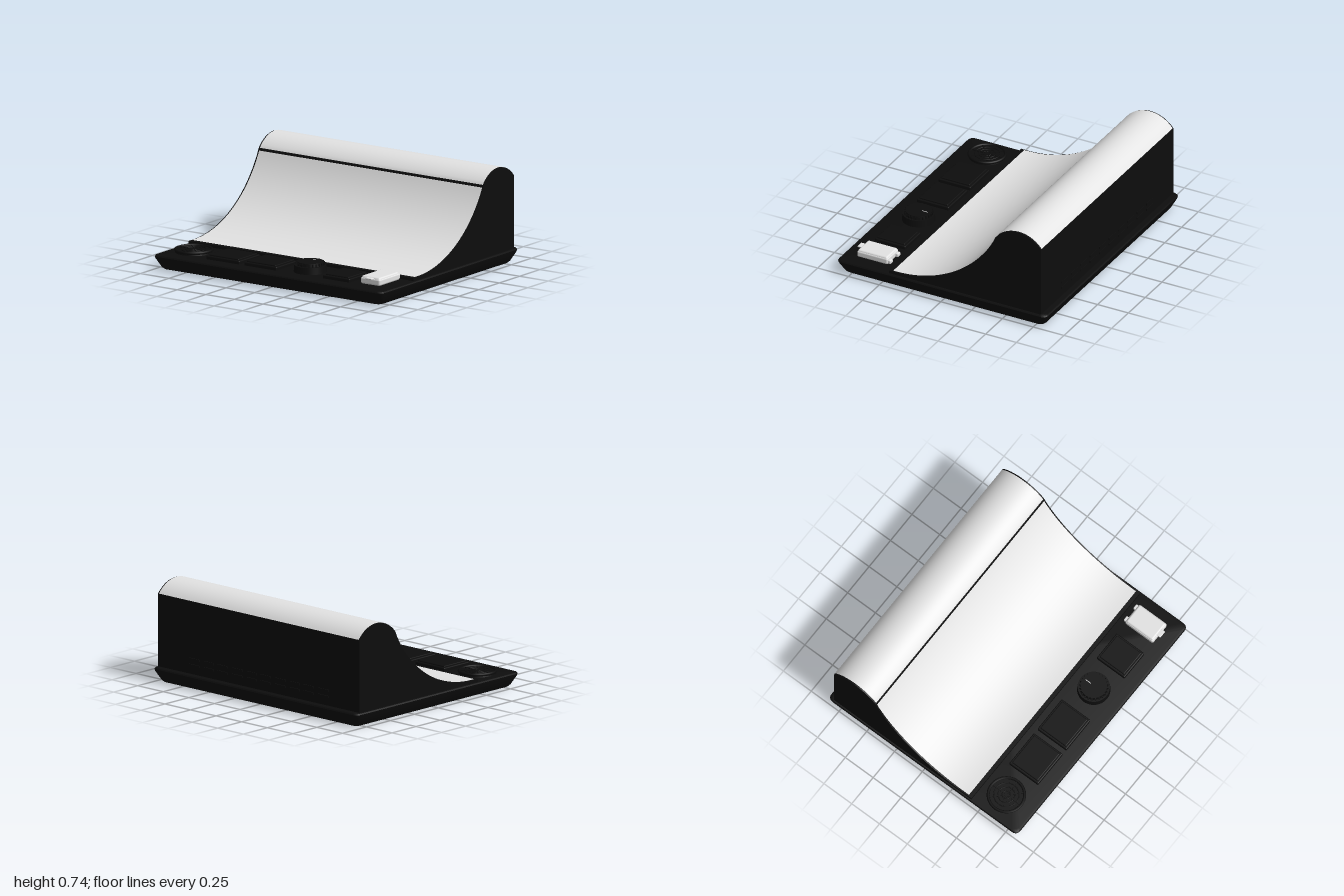
import * as THREE from 'three';
import { toCreasedNormals } from 'three/addons/utils/BufferGeometryUtils.js';
import { RoundedBoxGeometry } from 'three/addons/geometries/RoundedBoxGeometry.js';

const black = new THREE.MeshStandardMaterial({ color: 0x0d0d0d });
black.name = 'black plastic';
const white = new THREE.MeshStandardMaterial({ color: 0xe4e4e4 });
white.name = 'white plastic';

function add(parent, name, geometry, material, x = 0, y = 0, z = 0) {
  const mesh = new THREE.Mesh(geometry, material);
  mesh.name = name;
  mesh.position.set(x, y, z);
  parent.add(mesh);
  return mesh;
}

function addGroup(parent, name) {
  const group = new THREE.Group();
  group.name = name;
  parent.add(group);
  return group;
}

// Rounded-rectangle tray from stacked loops [y, inset], closed at both ends
function trayGeometry(hx, hz, r, rings) {
  const steps = 6, loops = [];
  const loop = (y, inset, scale = 1) => {
    const pts = [];
    for (let c = 0; c < 4; c++) {
      const sx = c === 0 || c === 3 ? 1 : -1, sz = c < 2 ? 1 : -1;
      for (let i = 0; i <= steps; i++) {
        const a = (c + i / steps) * Math.PI / 2;
        pts.push([
          scale * (sx * (hx - inset - r) + r * Math.cos(a)), y,
          scale * (sz * (hz - inset - r) + r * Math.sin(a))]);
      }
    }
    loops.push(pts);
  };
  loop(rings[0][0], 0, 0);
  rings.forEach(([y, inset]) => loop(y, inset));
  loop(rings[rings.length - 1][0], 0, 0);
  const n = loops[0].length, index = [];
  for (let j = 0; j < loops.length - 1; j++) {
    for (let i = 0; i < n; i++) {
      const a = j * n + i, b = j * n + (i + 1) % n;
      if (j < loops.length - 2) index.push(a, a + n, b + n);
      if (j > 0) index.push(a, b + n, b);
    }
  }
  const g = new THREE.BufferGeometry();
  g.setAttribute('position', new THREE.Float32BufferAttribute(loops.flat(2), 3));
  g.setIndex(index);
  return toCreasedNormals(g, 0.7);
}

// Height of the ramp: a hollow arc running up into a round crest
function rampHeight(z) {
  if (z > 0.37) return 0.13;
  if (z > -0.43) return 1.02 - Math.sqrt(0.89 ** 2 - (0.37 - z) ** 2);
  return 0.498 + Math.sqrt(0.235 ** 2 - (z + 0.62) ** 2);
}

const BACK = -0.805, ROWS = 96;

function rampBody() {
  const shape = new THREE.Shape();
  shape.moveTo(-0.43, 0.09);
  shape.lineTo(-BACK, 0.09);
  for (let i = 0; i <= ROWS; i++) {
    const z = BACK + (0.43 - BACK) * i / ROWS;
    shape.lineTo(-z, rampHeight(z));
  }
  const g = new THREE.ExtrudeGeometry(shape, { depth: 1.97, bevelEnabled: false });
  return g.rotateY(Math.PI / 2).translate(-0.985, 0, 0);
}

// Plane whose rows follow the ramp from back to front
function rampSheet() {
  const g = new THREE.PlaneGeometry(1.95, 1, 1, ROWS);
  const p = g.attributes.position;
  for (let i = 0; i < p.count; i++) {
    const z = BACK + (0.4 - BACK) * Math.floor(i / 2) / ROWS;
    p.setY(i, rampHeight(z) + 0.003);
    p.setZ(i, z);
  }
  g.computeVertexNormals();
  return g;
}

const ringGeometry = (r, tube) => new THREE.TorusGeometry(r, tube, 8, 48).rotateX(Math.PI / 2);

function addSpeaker(parent) {
  const speaker = addGroup(parent, 'speaker');
  speaker.position.set(-0.81, 0.11, 0.61);
  add(speaker, 'speakerDisc', new THREE.CylinderGeometry(0.13, 0.135, 0.02, 48), black, 0, 0.008, 0);
  add(speaker, 'speakerRim', ringGeometry(0.13, 0.011), black, 0, 0.018, 0);
  for (let i = 1; i <= 3; i++) add(speaker, 'grilleRing', ringGeometry(0.03 * i, 0.004), black, 0, 0.02, 0);
  for (let i = 0; i < 4; i++) {
    const bar = add(speaker, 'grilleBar', new THREE.BoxGeometry(0.25, 0.007, 0.008), black, 0, 0.02, 0);
    bar.rotation.y = i * Math.PI / 4;
  }
}

// Raised panel with a low border
function addPanel(parent, x0, x1, z0, z1) {
  const panel = addGroup(parent, 'controlPanel');
  panel.position.set((x0 + x1) / 2, 0.11, (z0 + z1) / 2);
  const w = x1 - x0, d = z1 - z0;
  add(panel, 'panelBorder', new RoundedBoxGeometry(w, 0.04, d, 2, 0.008), black, 0, 0.005, 0);
  add(panel, 'panelTop', new RoundedBoxGeometry(w - 0.03, 0.03, d - 0.03, 2, 0.006), black, 0, 0.02, 0);
}

function addKnob(parent) {
  const knob = addGroup(parent, 'knob');
  knob.position.set(0.21, 0.11, 0.61);
  add(knob, 'knobSkirt', new THREE.CylinderGeometry(0.115, 0.12, 0.05, 48), black, 0, 0.025, 0);
  add(knob, 'knobCap', new THREE.CylinderGeometry(0.095, 0.1, 0.03, 48), black, 0, 0.06, 0);
  for (let i = 0; i < 24; i++) {
    const a = i * Math.PI / 12;
    const grip = add(knob, 'knobGrip', new THREE.BoxGeometry(0.008, 0.022, 0.01), black,
      0.1 * Math.sin(a), 0.06, 0.1 * Math.cos(a));
    grip.rotation.y = a;
  }
  add(knob, 'knobPointer', new THREE.BoxGeometry(0.005, 0.004, 0.045), white, 0, 0.075, -0.05);
}

function addCase(parent) {
  const box = addGroup(parent, 'smallCase');
  box.position.set(0.82, 0.11, 0.61);
  add(box, 'caseLower', new RoundedBoxGeometry(0.17, 0.05, 0.25, 3, 0.014), white, 0, 0.033, 0);
  add(box, 'caseLid', new RoundedBoxGeometry(0.16, 0.04, 0.24, 3, 0.014), white, 0, 0.047, 0);
  add(box, 'caseLatch', new RoundedBoxGeometry(0.058, 0.01, 0.04, 2, 0.004), white, 0, 0.057, 0.13);
  for (const s of [-1, 1]) {
    add(box, 'caseHinge', new RoundedBoxGeometry(0.04, 0.03, 0.03, 2, 0.008), white, s * 0.056, 0.028, -0.13);
  }
}

export function createModel() {
  const model = new THREE.Group();
  model.name = 'rampConsole';

  // Tray base, wider at the top
  add(model, 'base', trayGeometry(1, 0.85, 0.04, [
    [0, 0.065], [0.004, 0.05], [0.018, 0.036], [0.05, 0.02],
    [0.085, 0.003], [0.098, 0], [0.107, 0.006], [0.11, 0.02]]), black);

  // Ramp with its curved white sheet
  add(model, 'rampBody', rampBody(), black);
  add(model, 'rampSheet', rampSheet(), white).material.side = THREE.DoubleSide;

  // Two rows of vent slats across the back
  for (let row = 0; row < 2; row++) {
    for (let i = 0; i < 10; i++) {
      add(model, 'ventSlat', new THREE.BoxGeometry(0.1, 0.016, 0.008), black,
        (i - 4.5) * 0.14, 0.175 + row * 0.045, BACK - 0.002);
    }
  }

  // Front deck controls
  addSpeaker(model);
  addPanel(model, -0.61, -0.32, 0.48, 0.74);
  addPanel(model, -0.28, 0.005, 0.48, 0.74);
  addKnob(model);
  addPanel(model, 0.405, 0.64, 0.485, 0.735);
  addCase(model);
  return model;
}
